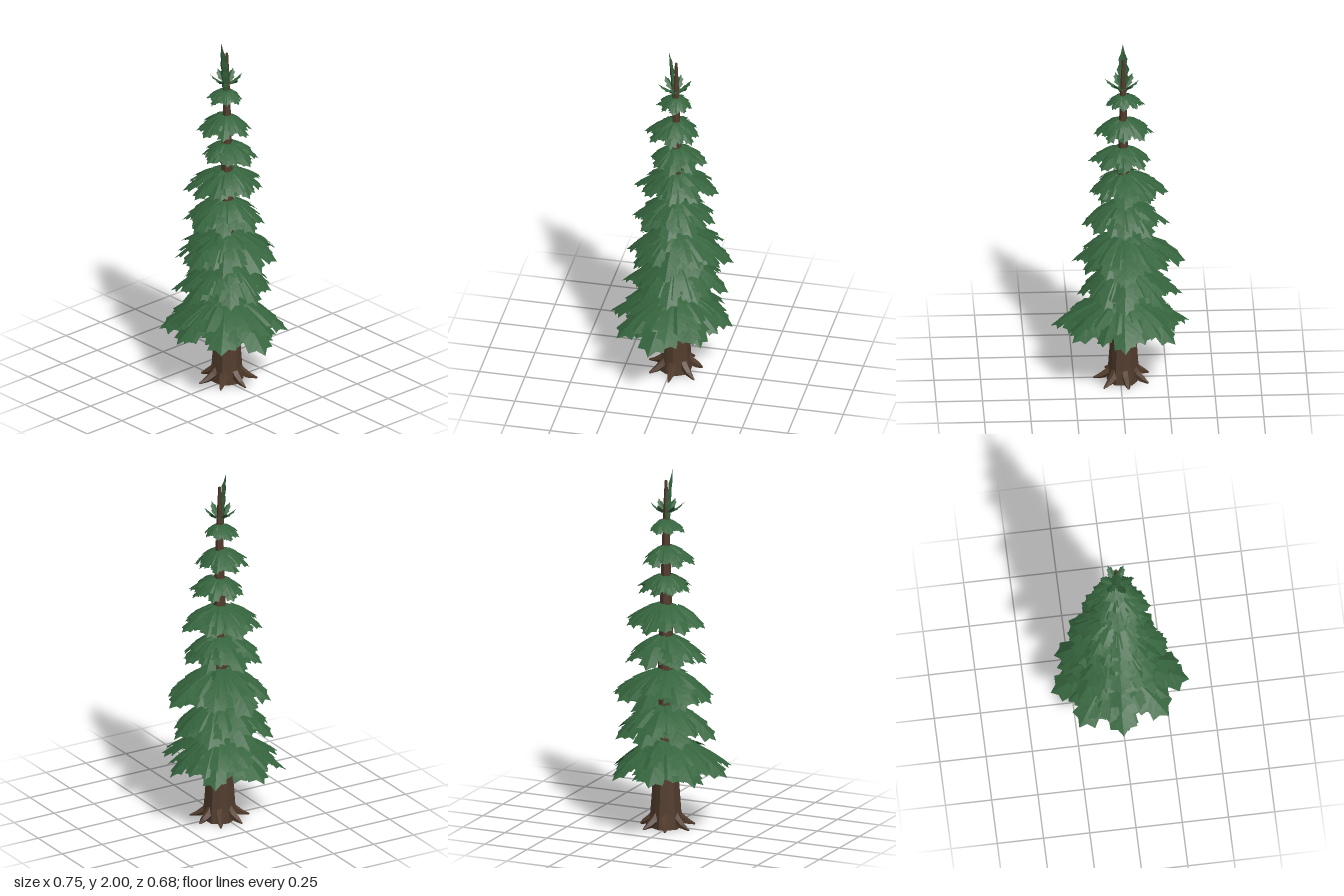
import * as THREE from 'three';
import { mergeGeometries } from 'three/addons/utils/BufferGeometryUtils.js';

const V = (x, y, z) => new THREE.Vector3(x, y, z);

// Small seeded generator for natural variation
let seed = 7;
function rand(a, b) {
  seed = (seed * 16807) % 2147483647;
  return a + (b - a) * (seed / 2147483647);
}

function fromTriangles(pos) {
  const g = new THREE.BufferGeometry();
  g.setAttribute('position', new THREE.Float32BufferAttribute(pos, 3));
  g.computeVertexNormals();
  return g;
}

// Leaf rows: position along the spine, position of the edge, half width
const ROWS = [
  [0, 0, 0.3], [0.15, 0.3, 0.75], [0.3, 0.34, 0.6],
  [0.44, 0.62, 1], [0.58, 0.66, 0.66], [0.7, 0.85, 0.72], [0.84, 0.88, 0.32], [1, 1, 0],
];

// Jagged leaf folded along its spine
function frond(spine, side, width, fold) {
  const pos = [];
  const rows = ROWS.map(([s, e, w]) => {
    const edge = (sign) => {
      const k = w * width * rand(0.85, 1.15);
      const p = spine(e).addScaledVector(side, sign * k);
      p.y -= fold * k;
      return p;
    };
    return { m: spine(s), l: edge(1), r: edge(-1) };
  });
  const tri = (...pts) => pts.forEach((p) => pos.push(p.x, p.y, p.z));
  for (let i = 0; i < rows.length - 1; i++) {
    const a = rows[i], b = rows[i + 1];
    tri(a.m, b.l, b.m); tri(a.m, a.l, b.l);
    tri(a.m, b.m, b.r); tri(a.m, b.r, a.r);
  }
  return fromTriangles(pos);
}

// Faceted limb through a list of points with one radius for each
function limb(points, radii, sides, ridge = 0) {
  const pos = [];
  const axis = points[points.length - 1].clone().sub(points[0]).normalize();
  const u = Math.abs(axis.y) > 0.9 ? V(1, 0, 0) : V(0, 1, 0).cross(axis).normalize();
  const v = u.clone().cross(axis).normalize();
  const bumps = Array.from({ length: sides }, (_, i) => 1 + ridge * (i % 2 ? -1 : 1) + rand(-ridge, ridge) * 0.5);
  const rings = points.map((p, j) => bumps.map((b, i) => {
    const a = (i / sides) * Math.PI * 2;
    return p.clone().addScaledVector(u, Math.cos(a) * radii[j] * b).addScaledVector(v, Math.sin(a) * radii[j] * b);
  }));
  const tri = (...pts) => pts.forEach((p) => pos.push(p.x, p.y, p.z));
  const last = rings.length - 1;
  for (let i = 0; i < sides; i++) {
    const n = (i + 1) % sides;
    for (let j = 0; j < last; j++) {
      const a = rings[j][i], b = rings[j][n], c = rings[j + 1][n], d = rings[j + 1][i];
      tri(a, c, b); tri(a, d, c);
    }
    tri(points[0], rings[0][i], rings[0][n]);
    tri(points[last], rings[last][n], rings[last][i]);
  }
  return fromTriangles(pos);
}

const CX = -0.015, CZ = -0.023;

// Bough tiers: bottom, top, then reach to -x, +x, -z, +z
const TIERS = [
  [0.29, 0.495, -0.385, 0.385, -0.335, 0.34],
  [0.5, 0.69, -0.335, 0.235, -0.31, 0.275],
  [0.705, 0.88, -0.35, 0.265, -0.34, 0.25],
  [0.925, 1.07, -0.27, 0.21, -0.24, 0.22],
  [1.12, 1.245, -0.26, 0.17, -0.26, 0.21],
  [1.31, 1.405, -0.165, 0.175, -0.195, 0.12],
  [1.47, 1.57, -0.185, 0.145, -0.15, 0.15],
  [1.65, 1.715, -0.135, 0.08, -0.11, 0.09],
];

// Rings of one tier: start, end, leaf count, half width, height offset
const RINGS = [
  [0.2, 1, 8, 0.27, 0], [0.35, 0.9, 12, 0.2, 0], [0.3, 0.82, 10, 0.24, -0.14],
  [0.32, 0.76, 12, 0.2, 0.02], [0.16, 0.6, 10, 0.2, 0.02], [0.03, 0.42, 8, 0.2, 0.02],
];

function tierGeometry([bottom, top, x0, x1, z0, z1], index) {
  const parts = [];
  const h = top - bottom;
  RINGS.forEach(([start, end, n, width, lift], ring) => {
    const shift = ring === 0 ? 0 : rand(0, 1);
    for (let i = 0; i < n; i++) {
      const main = ring === 0 && i % 2 === 0;
      let a = ((i + shift) / n) * Math.PI * 2 + (main ? 0 : rand(-0.14, 0.14));
      if (index === 0) a += 0.18 * Math.cos(a); // lowest side boughs sweep forward
      const c = Math.cos(a), s = Math.sin(a);
      const ex = c > 0 ? x1 - CX : CX - x0;
      const ez = s > 0 ? z1 - CZ : CZ - z0;
      const reach = Math.pow(Math.pow(Math.abs(c) / ex, 1.8) + Math.pow(Math.abs(s) / ez, 1.8), -1 / 1.8);
      const tip = end * (main ? 1 : rand(0.93, 1.04));
      const drop = h * rand(0.88, 1);
      const raise = h * (lift + (ring ? rand(-0.05, 0.05) : 0));
      const spine = (t) => {
        const q = start + (tip - start) * t;
        return V(CX + c * reach * q, top + raise - drop * Math.pow(q, 1.75), CZ + s * reach * q);
      };
      parts.push(frond(spine, V(-s, rand(-0.3, 0.3), c), reach * width, 0.3));
    }
  });
  return mergeGeometries(parts);
}

export function createModel() {
  const tree = new THREE.Group();
  tree.name = 'coniferTree';
  const needle = new THREE.MeshStandardMaterial({ color: 0x35643d, flatShading: true, side: THREE.DoubleSide });
  needle.name = 'needle green';
  const bark = new THREE.MeshStandardMaterial({ color: 0x523c2d, flatShading: true });
  bark.name = 'bark brown';
  const add = (name, geometry, material) => {
    const mesh = new THREE.Mesh(geometry, material);
    mesh.name = name;
    tree.add(mesh);
  };

  // Ridged trunk, tapering to a bare tip
  const trunk = [[0, 0.086], [0.08, 0.079], [0.3, 0.064], [0.7, 0.046], [1.1, 0.035], [1.6, 0.02], [1.8, 0.013], [1.93, 0.007]];
  add('trunk', limb(trunk.map(([y]) => V(CX, y, CZ)), trunk.map((p) => p[1]), 12, 0.06), bark);

  // Flared roots
  const roots = [];
  for (let i = 0; i < 7; i++) {
    const a = (i / 7) * Math.PI * 2 + 0.05;
    const L = rand(0.14, 0.165);
    const at = (r, y) => V(CX + Math.cos(a) * r, y, CZ + Math.sin(a) * r);
    roots.push(limb([at(0.05, 0.09), at(0.08, 0.045), at(0.115, 0.022), at(L, 0.006)], [0.02, 0.024, 0.018, 0.005], 5));
  }
  add('roots', mergeGeometries(roots), bark);

  // Broken twigs on the lower trunk
  add('twigs', mergeGeometries([
    limb([V(0.02, 0.26, -0.02), V(0.09, 0.23, -0.02)], [0.007, 0.004], 5),
    limb([V(-0.04, 0.25, -0.07), V(-0.06, 0.235, -0.105)], [0.009, 0.006], 5),
  ]), bark);

  // Drooping bough tiers
  TIERS.forEach((t, i) => add(`boughTier${i + 1}`, tierGeometry(t, i), needle));

  // Upturned sprigs below the tip
  const sprigs = [];
  for (let i = 0; i < 6; i++) {
    const a = (i / 6) * Math.PI * 2 + 0.1;
    const c = Math.cos(a), s = Math.sin(a), R = rand(0.08, 0.1);
    const spine = (t) => V(CX + c * R * t, 1.75 + 0.06 * Math.pow(t, 1.4), CZ + s * R * t);
    sprigs.push(frond(spine, V(-s, 0, c), 0.022, 0.4));
  }
  add('topSprigs', mergeGeometries(sprigs), needle);

  // Upright leader blade with notched edges
  const leader = [[1.7, 0.008], [1.74, 0.026], [1.76, 0.016], [1.8, 0.033], [1.83, 0.024], [1.86, 0.034], [1.89, 0.02], [1.92, 0.024], [1.95, 0.011], [2, 0]];
  const blade = [];
  const bow = (y) => 0.022 * Math.pow((y - 1.7) / 0.3, 2) - 0.004;
  for (let i = 0; i < leader.length - 1; i++) {
    const [y0, w0] = leader[i], [y1, w1] = leader[i + 1];
    for (const s of [-1, 1]) {
      const m0 = [CX, y0, bow(y0) + w0 * 0.25], m1 = [CX, y1, bow(y1) + w1 * 0.25];
      const e0 = [CX + s * w0, y0, bow(y0) - w0 * 0.25], e1 = [CX + s * w1, y1, bow(y1) - w1 * 0.25];
      blade.push(...(s > 0 ? [m0, e0, e1, m0, e1, m1] : [m0, e1, e0, m0, m1, e1]).flat());
    }
  }
  add('leaderBlade', fromTriangles(blade), needle);

  return tree;
}
